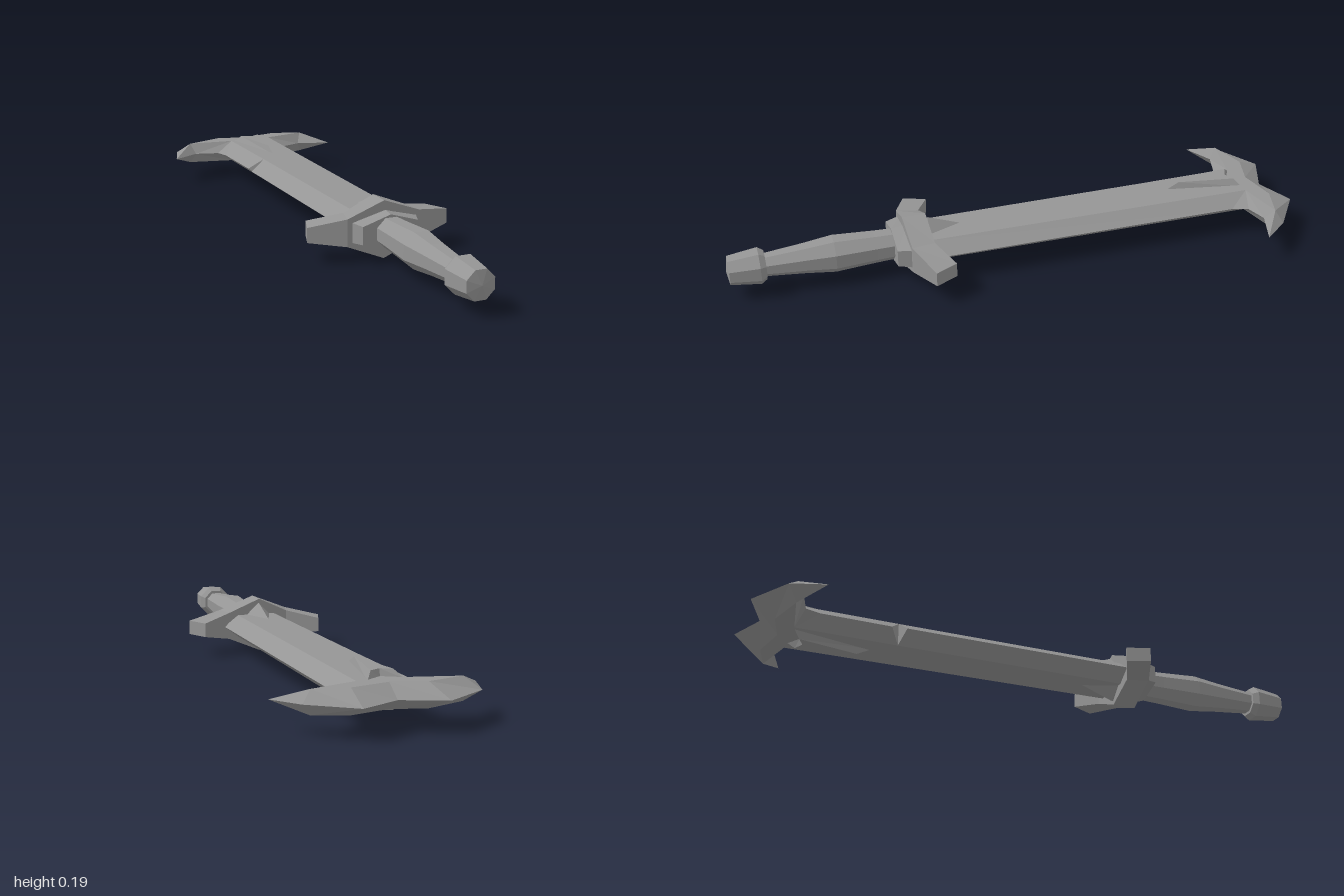
import * as THREE from 'three';

const MID = 0.1; // height of the sword's flat middle plane

function flatGeometry(tris) {
  const geo = new THREE.BufferGeometry();
  geo.setAttribute('position', new THREE.Float32BufferAttribute(tris.flat(2), 3));
  geo.computeVertexNormals();
  return geo;
}

// Faces of [x, z, half thickness] corners, mirrored above and below the middle plane.
// Walls are vertical cuts from a rim corner to a thick corner, facing +z or -z.
function shell(faces, walls = []) {
  const tris = [];
  const up = ([x, z, h]) => [x, MID + h, z];
  const down = ([x, z, h]) => [x, MID - h, z];
  for (const f of faces) {
    for (let i = 1; i < f.length - 1; i++) {
      let [a, b, c] = [f[0], f[i], f[i + 1]];
      const ny = (b[1] - a[1]) * (c[0] - a[0]) - (b[0] - a[0]) * (c[1] - a[1]);
      if (ny < 0) [b, c] = [c, b];
      tris.push([a, b, c].map(up), [a, c, b].map(down));
    }
  }
  for (const [rim, thick, facing] of walls) {
    const t = [up(rim), up(thick), down(thick)];
    const nz = (t[1][0] - t[0][0]) * (t[2][1] - t[0][1]) - (t[1][1] - t[0][1]) * (t[2][0] - t[0][0]);
    tris.push(nz * facing > 0 ? t : t.reverse());
  }
  return flatGeometry(tris);
}

// Closed loft through rings of equal corner count, turned so its faces point outwards.
function loft(rings) {
  const tris = [];
  const n = rings[0].length;
  for (let r = 0; r < rings.length - 1; r++) {
    for (let i = 0; i < n; i++) {
      const j = (i + 1) % n;
      const [a, b, c, d] = [rings[r][i], rings[r][j], rings[r + 1][j], rings[r + 1][i]];
      tris.push([a, b, c], [a, c, d]);
    }
  }
  const first = rings[0], last = rings[rings.length - 1];
  for (let i = 1; i < n - 1; i++) {
    tris.push([first[0], first[i + 1], first[i]], [last[0], last[i], last[i + 1]]);
  }
  const v = tris.map(t => t.map(p => new THREE.Vector3(...p)));
  const volume = v.reduce((s, [a, b, c]) => s + a.dot(b.clone().cross(c)), 0);
  return flatGeometry(volume < 0 ? tris.map(t => [...t].reverse()) : tris);
}

// Eight-sided turned part along z from [radius, z] points.
function turned(profile) {
  const geo = new THREE.LatheGeometry(profile.map(p => new THREE.Vector2(...p)), 8, Math.PI / 8);
  geo.rotateX(Math.PI / 2);
  geo.translate(-0.013, MID, 0);
  return geo;
}

export function createModel() {
  const sword = new THREE.Group();
  sword.name = 'sword';
  const steel = new THREE.MeshStandardMaterial({ color: 0x959595, flatShading: true });
  steel.name = 'grey steel';
  const add = (name, geo) => {
    const mesh = new THREE.Mesh(geo, steel);
    mesh.name = name;
    sword.add(mesh);
  };

  // Blade: flat centre, bevelled edges and a nick in one edge
  const H = 0.04;
  const l0 = [-0.075, 0.34, H], r0 = [0.065, 0.34, H];
  const L0 = [-0.13, 0.34, 0], L1 = [-0.135, -0.48, 0], nick = [-0.08, -0.495, H];
  const L2 = [-0.13, -0.53, 0], L3 = [-0.135, -0.77, 0];
  const R0 = [0.118, 0.34, 0], R3 = [0.122, -0.77, 0];
  const bl = [-0.085, -0.84, H], br = [0.075, -0.84, H];
  const i2 = [-0.15, -0.82, 0], i3 = [0.14, -0.825, 0];
  add('blade', shell([
    [r0, br, bl, nick, l0],
    [l0, L0, L1, nick], [nick, L2, L3, bl], [L3, i2, bl],
    [r0, R0, R3, br], [R3, i3, br],
  ], [[L1, nick, -1], [L2, nick, 1]]));

  // Flared tip: two hooked horns with a raised ridge and sharp rim
  const t1 = [-0.333, -0.79, 0], t2 = [-0.295, -0.905, 0], t3 = [-0.15, -0.995, 0];
  const t4 = [-0.01, -0.94, 0], t5 = [0.12, -1, 0], t6 = [0.26, -0.9, 0], t7 = [0.33, -0.81, 0];
  const i1 = [-0.235, -0.845, 0], i4 = [0.21, -0.85, 0];
  const ra = [-0.25, -0.87, 0.038], rb = [-0.12, -0.91, H], rc = [-0.01, -0.88, H];
  const rd = [0.12, -0.91, H], re = [0.23, -0.88, 0.038];
  add('hornedTip', shell([
    [t1, t2, ra], [t2, t3, rb, ra], [t3, t4, rc, rb],
    [t4, t5, rd, rc], [t5, t6, re, rd], [t6, t7, re],
    [t1, i1, ra], [i1, i2, bl], [i1, bl, ra], [bl, rb, ra],
    [t7, i4, re], [i4, i3, br], [i4, br, re], [br, rd, re],
    [bl, rc, rb], [bl, br, rc], [br, rd, rc],
  ]));

  // Raised arrowhead with bevelled sides on both faces of the blade
  const base = [[-0.075, -0.84, 0.036], [-0.015, -0.805, 0.036], [0.04, -0.84, 0.036], [-0.013, -0.565, 0.036]];
  const top = [[-0.052, -0.815, 0.062], [-0.015, -0.797, 0.062], [0.02, -0.815, 0.062], [-0.013, -0.615, 0.062]];
  add('arrowhead', shell([
    [top[1], top[2], top[3]], [top[1], top[3], top[0]],
    ...base.map((p, i) => [p, base[(i + 1) % 4], top[(i + 1) % 4], top[i]]),
  ]));

  // Small ridged spike where the blade meets the guard
  const spikeTip = [-0.015, 0.195, 0.038], spikeTop = [-0.015, 0.31, 0.082], spikeEnd = [-0.015, 0.35, 0.082];
  add('guardSpike', shell([-0.062, 0.034].flatMap(x => [
    [spikeTip, [x, 0.32, 0.036], spikeTop],
    [spikeTop, [x, 0.32, 0.036], [x, 0.35, 0.036], spikeEnd],
  ])));

  // Guard: swept wings, each station is [xBack, zBack, xFront, zFront, yLow, yHigh]
  add('guard', loft([
    [-0.235, 0.267, -0.263, 0.345, 0.07, 0.12],
    [-0.125, 0.32, -0.145, 0.395, 0.055, 0.147],
    [-0.018, 0.318, -0.018, 0.4, 0.003, 0.197],
    [0.1, 0.315, 0.11, 0.395, 0.053, 0.15],
    [0.205, 0.267, 0.243, 0.345, 0.075, 0.125],
  ].map(([xb, zb, xf, zf, lo, hi]) => [[xb, lo, zb], [xf, lo, zf], [xf, hi, zf], [xb, hi, zb]])));

  // Six-sided collar between guard and grip
  const collarRing = (w, h, side, z) =>
    [[-w, side], [0, h], [w, side], [w, -side], [0, -h], [-w, -side]].map(([x, y]) => [x - 0.014, MID + y, z]);
  add('collar', loft([collarRing(0.117, 0.066, 0.034, 0.385), collarRing(0.098, 0.06, 0.03, 0.44)]));

  // Grip and pommel
  add('grip', turned([[0, 0.4], [0.053, 0.42], [0.056, 0.5], [0.064, 0.64], [0.052, 0.74], [0.038, 0.89]]));
  add('pommel', turned([[0, 0.868], [0.05, 0.87], [0.063, 0.89], [0.05, 0.992], [0, 1]]));

  return sword;
}
